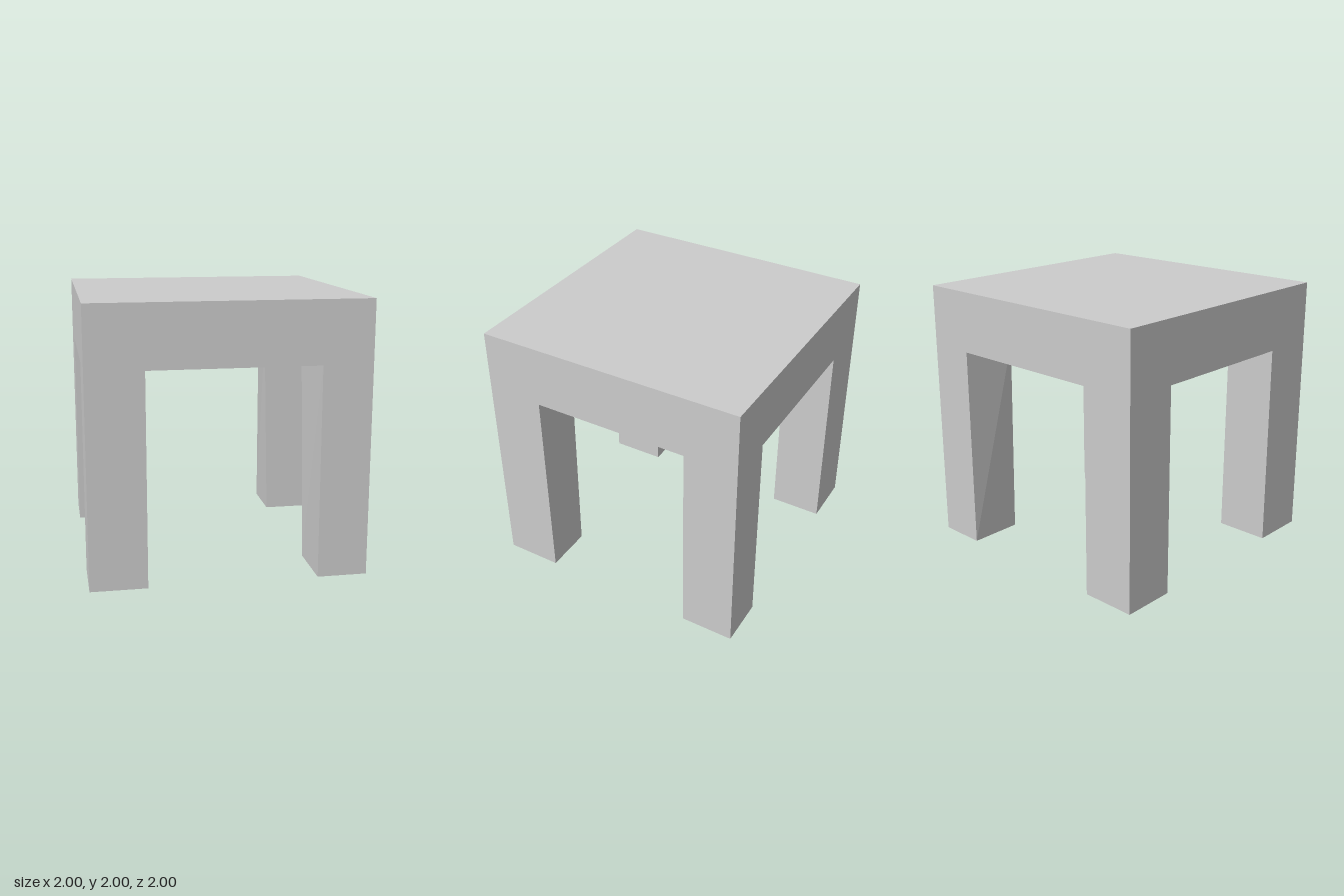
import * as THREE from 'three';

const material = new THREE.MeshStandardMaterial({ color: 0xcccccc, flatShading: true });
const UNDERSIDE = 1.545;

// A square leg filling the corner (sx, sz); its inner edge leans to x = topX at the top.
function leg(name, sx, sz, innerX, innerZ, topX) {
  const w = 1 - innerX;
  const d = 1 - innerZ;
  const geometry = new THREE.BoxGeometry(w, UNDERSIDE, d);
  geometry.translate(sx * (1 - w / 2), UNDERSIDE / 2, sz * (1 - d / 2));
  const p = geometry.attributes.position;
  for (let i = 0; i < p.count; i++) {
    const isInner = Math.abs(p.getX(i)) < 0.9 && Math.abs(p.getZ(i)) < 0.9;
    if (isInner && p.getY(i) > 1) p.setX(i, sx * topX);
  }
  geometry.computeVertexNormals();
  const mesh = new THREE.Mesh(geometry, material);
  mesh.name = name;
  return mesh;
}

export function createModel() {
  const model = new THREE.Group();
  model.name = 'table';

  // Thick square top
  const top = new THREE.Mesh(new THREE.BoxGeometry(2, 2 - UNDERSIDE, 2), material);
  top.position.y = (2 + UNDERSIDE) / 2;
  top.name = 'tableTop';
  model.add(top);

  // Four corner legs, slightly uneven in width
  for (const [side, sx, innerX] of [['Left', 1, 0.637], ['Right', -1, 0.59]]) {
    for (const [end, sz, innerZ] of [['front', 1, 0.575], ['back', -1, 0.6]]) {
      model.add(leg(`${end}${side}Leg`, sx, sz, innerX, innerZ, 0.6));
    }
  }
  return model;
}
